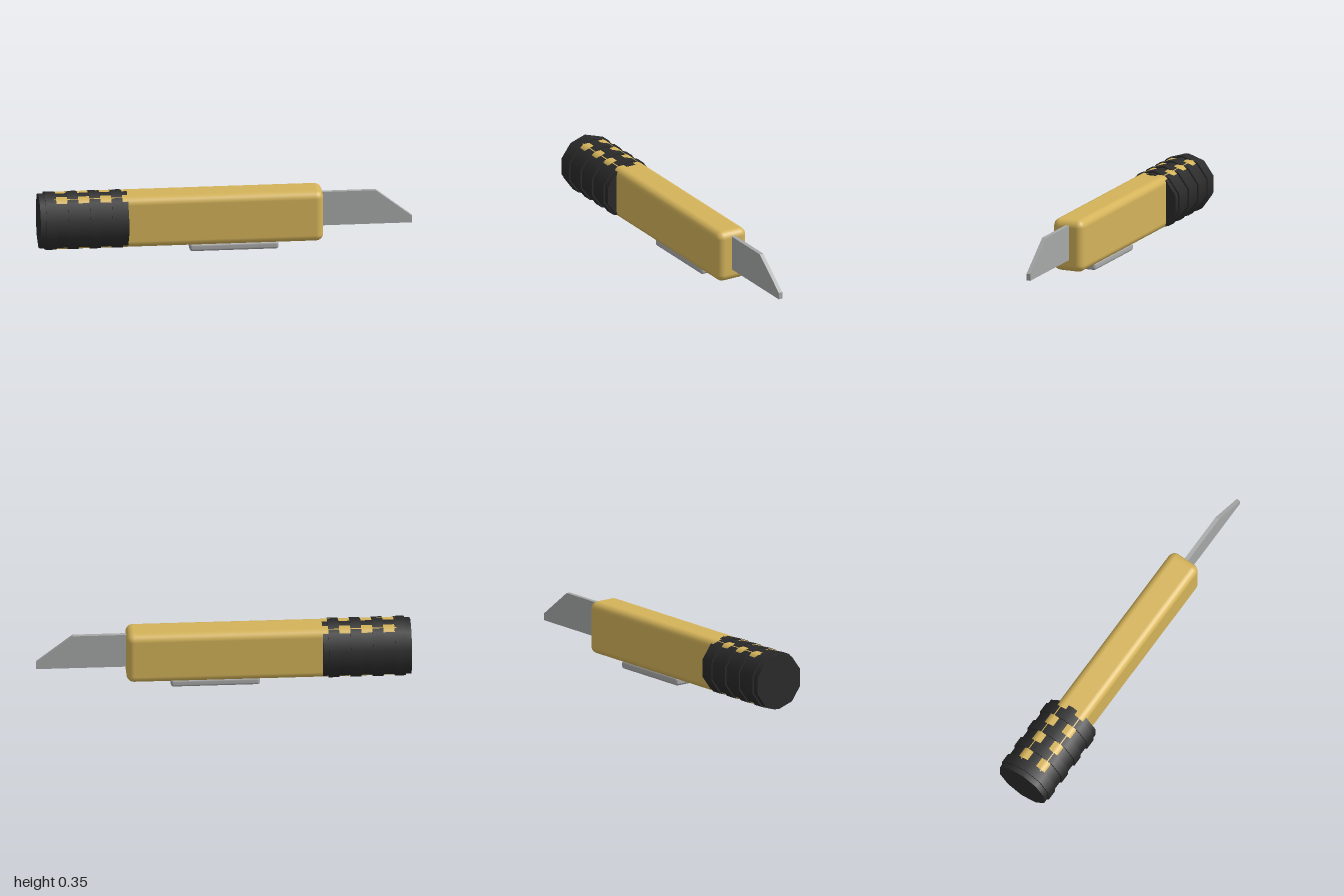
import * as THREE from 'three';
import { RoundedBoxGeometry } from 'three/addons/geometries/RoundedBoxGeometry.js';

const AXIS_Y = 0.185; // height of the handle's long axis

export function createModel() {
  const model = new THREE.Group();
  model.name = 'utilityKnife';

  const material = (name, color) => {
    const m = new THREE.MeshStandardMaterial({ color });
    m.name = name;
    return m;
  };
  const yellow = material('yellow plastic', 0xd4b35a);
  const black = material('black rubber', 0x2a2a2a);
  const steel = material('blade steel', 0xa6a9a8);
  const grey = material('grey plastic', 0xaaaaaa);

  const add = (name, geometry, mat, x, y, parent = model) => {
    const mesh = new THREE.Mesh(geometry, mat);
    mesh.name = name;
    mesh.position.set(x, y, 0);
    parent.add(mesh);
    return mesh;
  };

  // Rounded box spanning x0..x1 and y0..y1, centred on z
  const roundedBox = (name, mat, x0, x1, y0, y1, depth, radius) =>
    add(name, new RoundedBoxGeometry(x1 - x0, y1 - y0, depth, 4, radius),
      mat, (x0 + x1) / 2, (y0 + y1) / 2);

  // Handle and thumb slider
  roundedBox('handle', yellow, -0.96, 0.52, 0.043, 0.328, 0.18, 0.04);
  roundedBox('slider', grey, -0.195, 0.283, 0, 0.045, 0.112, 0.016);

  // Ten-sided sleeve with four raised ribs; the handle's corners show between ribs
  const grip = new THREE.Group();
  grip.name = 'grip';
  model.add(grip);
  const tenSided = (name, radius, x0, x1) => {
    const geometry = new THREE.CylinderGeometry(radius, radius, x1 - x0, 10);
    geometry.rotateY(Math.PI / 2).rotateZ(Math.PI / 2); // a corner points up
    add(name, geometry, black, (x0 + x1) / 2, AXIS_Y, grip);
  };
  tenSided('gripSleeve', 0.152, -1, -0.527);
  for (let i = 0; i < 4; i++) {
    const x = -0.94 + i * 0.118;
    tenSided('gripRib', 0.161, x - 0.029, x + 0.029);
  }

  // Blade with a slanted tip
  const outline = new THREE.Shape([
    [0.45, 0.11], [1, 0.11], [1, 0.147], [0.805, 0.3], [0.45, 0.3],
  ].map(([x, y]) => new THREE.Vector2(x, y)));
  const blade = new THREE.ExtrudeGeometry(outline, { depth: 0.022, bevelEnabled: false });
  blade.translate(0, 0, -0.011);
  add('blade', blade, steel, 0, 0);

  return model;
}
